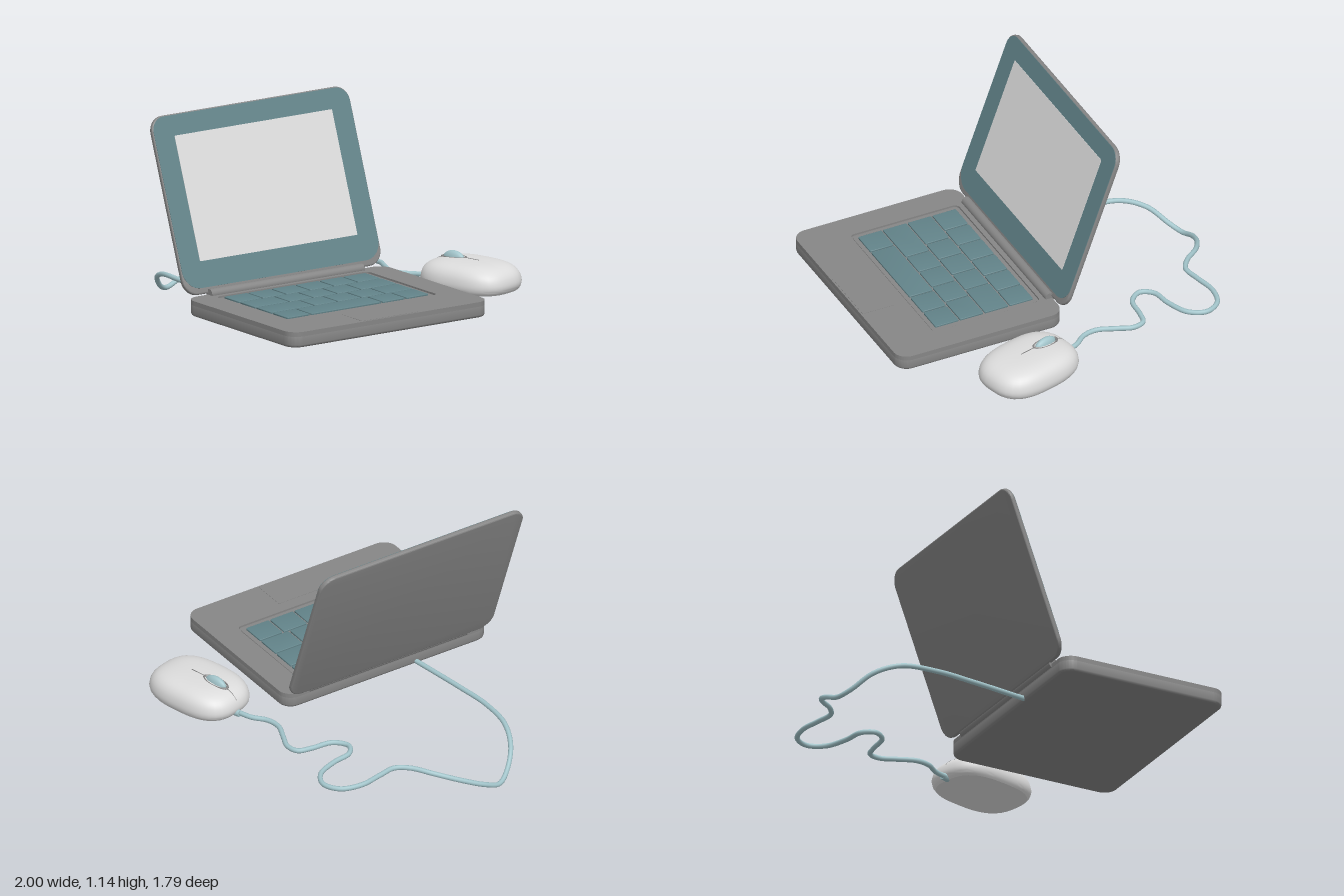
import * as THREE from 'three';
import { mergeVertices, toCreasedNormals } from 'three/addons/utils/BufferGeometryUtils.js';

const mat = (name, color) => Object.assign(new THREE.MeshStandardMaterial({ color }), { name });

// Rounded rectangle centred on the origin, with separate top and bottom corner radii
function roundRect(w, h, r, rb = r, Type = THREE.Shape) {
  const x = w / 2, y = h / 2, s = new Type();
  s.moveTo(-x + rb, -y);
  s.lineTo(x - rb, -y).absarc(x - rb, -y + rb, rb, -Math.PI / 2, 0, false);
  s.lineTo(x, y - r).absarc(x - r, y - r, r, 0, Math.PI / 2, false);
  s.lineTo(-x + r, y).absarc(-x + r, y - r, r, Math.PI / 2, Math.PI, false);
  s.lineTo(-x, -y + rb).absarc(-x + rb, -y + rb, rb, Math.PI, Math.PI * 1.5, false);
  return s;
}

// Extrusion of total depth d from z = 0, bevelled inside its outline
function slab(shape, d, bevel = 0) {
  const g = new THREE.ExtrudeGeometry(shape, {
    depth: d - 2 * bevel, curveSegments: 8, bevelEnabled: bevel > 0,
    bevelThickness: bevel, bevelSize: bevel, bevelOffset: -bevel, bevelSegments: 3,
  });
  g.translate(0, 0, bevel);
  return toCreasedNormals(g, 0.6);
}

export function createModel() {
  const model = new THREE.Group();
  const grey = mat('caseGrey', 0x868686);
  const teal = mat('teal', 0x628389);
  const white = mat('paleGrey', 0xdcdcdc);
  const pale = mat('paleTeal', 0xa2c4ca);

  const add = (parent, name, geometry, material, x = 0, y = 0, z = 0) => {
    const m = new THREE.Mesh(geometry, material);
    m.name = name;
    m.position.set(x, y, z);
    parent.add(m);
    return m;
  };
  const flat = (shape, d, bevel) => slab(shape, d, bevel).rotateX(-Math.PI / 2);
  const upright = (shape, d, bevel) => slab(shape, d, bevel).rotateY(Math.PI / 2);
  const midZ = 0.255;

  // Base: bevelled lower case, and a deck with the keyboard opening
  const base = new THREE.Group();
  base.name = 'base';
  model.add(base);
  add(base, 'lowerCase', flat(roundRect(0.96, 1.27, 0.075), 0.075, 0.015), grey, 0.52, 0.155, midZ);
  const deck = roundRect(0.96, 1.27, 0.075);
  const hole = roundRect(0.63, 0.975, 0.03, 0.03, THREE.Path);
  deck.holes.push(new THREE.Path(hole.getPoints(8).map((p) => p.add(new THREE.Vector2(-0.1, 0)))));
  add(base, 'deck', flat(deck, 0.025), grey, 0.52, 0.215, midZ);
  add(base, 'keyboardTray', flat(roundRect(0.612, 0.957, 0.024), 0.005), grey, 0.42, 0.228, midZ);
  add(base, 'touchpad', flat(roundRect(0.19, 0.36, 0.012), 0.003), grey, 0.895, 0.2385, midZ);

  // Keys: four columns, each split at its own z positions
  const columns = [
    [-0.2, -0.05, 0.103, 0.257, 0.41, 0.56, 0.715],
    [-0.2, 0.033, 0.185, 0.34, 0.493, 0.715],
    [-0.2, -0.02, 0.133, 0.285, 0.435, 0.715],
    [-0.2, -0.05, 0.103, 0.56, 0.715],
  ];
  columns.forEach((cuts, c) => {
    for (let i = 0; i + 1 < cuts.length; i++) {
      const len = cuts[i + 1] - cuts[i] - 0.01;
      add(base, 'key', flat(roundRect(0.136, len, 0.006), 0.012, 0.003), teal,
        0.2 + c * 0.1445, 0.23, (cuts[i] + cuts[i + 1]) / 2 - 0.002);
    }
  });

  // Hinge bar along the rear edge
  add(base, 'hinge', new THREE.CylinderGeometry(0.027, 0.027, 0.98, 16).rotateX(Math.PI / 2),
    grey, 0.052, 0.245, midZ);

  // Lid leaning back, with its border and screen on the inner face
  const lid = new THREE.Group();
  lid.name = 'lid';
  lid.position.set(0.045, 0.25, midZ);
  lid.rotation.z = THREE.MathUtils.degToRad(20);
  model.add(lid);
  add(lid, 'lidShell', upright(roundRect(1.27, 0.955, 0.085), 0.026, 0.007), grey, -0.026, 0.4775, 0);
  add(lid, 'screenBorder', upright(roundRect(1.258, 0.918, 0.08, 0.1), 0.004), teal, -0.002, 0.49, 0);
  add(lid, 'screen', upright(roundRect(1.01, 0.67, 0.006), 0.004), white, 0, 0.505, 0.0);

  // Mouse: a lathed dome whose round plan is reshaped into a superellipse
  const mouse = new THREE.Group();
  mouse.name = 'mouse';
  mouse.position.set(0.402, 0, -0.685);
  mouse.rotation.y = THREE.MathUtils.degToRad(15);
  model.add(mouse);
  const side = new THREE.SplineCurve([
    [0.92, 0.155], [0.98, 0.175], [1, 0.205], [0.95, 0.245], [0.82, 0.276],
    [0.6, 0.294], [0.3, 0.301], [0, 0.302],
  ].map((p) => new THREE.Vector2(...p))).getPoints(24);
  side[side.length - 1].x = 0;
  let body = new THREE.LatheGeometry([new THREE.Vector2(0, 0.155), ...side], 48);
  const pos = body.attributes.position;
  for (let i = 0; i < pos.count; i++) {
    const x = pos.getX(i), z = pos.getZ(i), s = Math.hypot(x, z);
    if (s < 1e-6) continue;
    const n = 2.8;
    const r = (Math.abs(x / s / 0.27) ** n + Math.abs(z / s / 0.195) ** n) ** (-1 / n);
    pos.setX(i, x * r);
    pos.setZ(i, z * r);
  }
  body.deleteAttribute('uv');
  body.deleteAttribute('normal');
  body = toCreasedNormals(mergeVertices(body, 1e-5), 0.8);
  add(mouse, 'mouseBody', body, white);
  add(mouse, 'scrollWheel', new THREE.SphereGeometry(1, 24, 16).scale(0.07, 0.045, 0.027),
    pale, -0.115, 0.285, 0);
  const rim = add(mouse, 'wheelRim',
    new THREE.TorusGeometry(1, 0.1, 8, 32).rotateX(Math.PI / 2).scale(0.077, 0.06, 0.034),
    grey, -0.115, 0.295, 0);
  rim.rotation.z = 0.06;
  const seam = new THREE.CatmullRomCurve3([
    [-0.258, 0.243], [-0.22, 0.277], [-0.16, 0.294], [-0.08, 0.3005], [0, 0.302], [0.055, 0.3015],
  ].map(([x, y]) => new THREE.Vector3(x, y, 0)));
  add(mouse, 'buttonSeam', new THREE.TubeGeometry(seam, 24, 0.0025, 6), grey);

  // Cord: winds from the mouse nose, dips behind, and returns to the base
  const level = 0.17;
  const path = [
    [0.16, level, -0.615], [0.07, level, -0.58], [0, level, -0.525], [-0.08, level, -0.51],
    [-0.18, level, -0.545], [-0.265, level, -0.575], [-0.33, level, -0.555], [-0.35, level, -0.48],
    [-0.365, level, -0.36], [-0.435, level, -0.305], [-0.5, level, -0.345], [-0.525, level, -0.455],
    [-0.58, level, -0.575], [-0.67, level, -0.618], [-0.755, level, -0.57], [-0.785, level, -0.455],
    [-0.76, level, -0.32], [-0.745, level, -0.225], [-0.79, 0.167, -0.15], [-0.88, 0.15, -0.065],
    [-0.95, 0.105, 0.055], [-0.985, 0.05, 0.185], [-0.975, 0.015, 0.28], [-0.935, 0.038, 0.35],
    [-0.85, 0.115, 0.435], [-0.715, 0.165, 0.49], [-0.505, level, 0.51], [-0.29, level, 0.485],
    [0.06, level, 0.43],
  ].map((p) => new THREE.Vector3(...p));
  add(model, 'cord', new THREE.TubeGeometry(new THREE.CatmullRomCurve3(path), 240, 0.0135, 10), pale);
  add(mouse, 'cordCollar', new THREE.CylinderGeometry(0.018, 0.022, 0.04, 12).rotateZ(Math.PI / 2),
    pale, -0.262, level, 0);

  return model;
}
